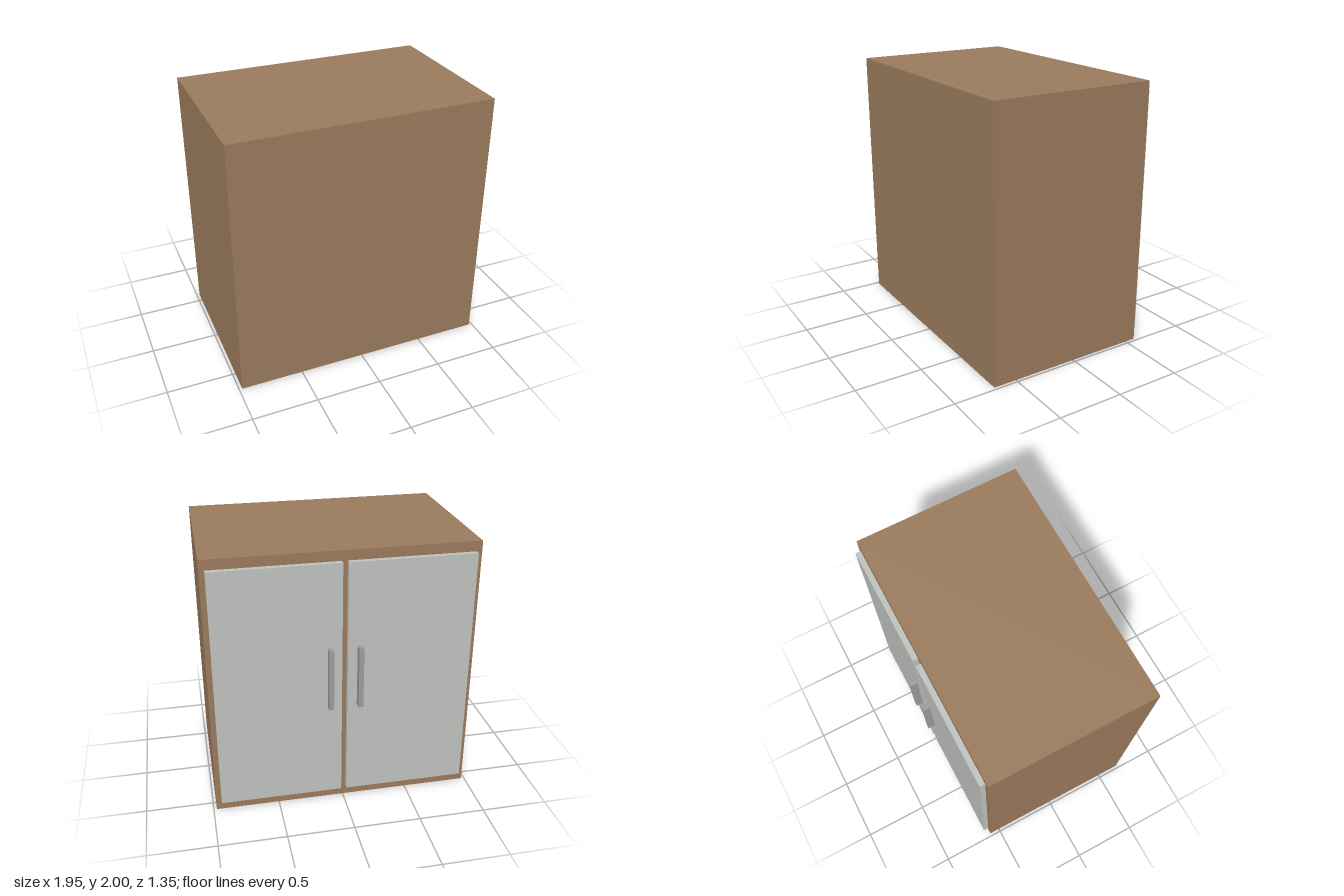
import * as THREE from 'three';

const material = (color) => new THREE.MeshStandardMaterial({ color });

export function createModel() {
  const group = new THREE.Group();
  const wood = material(0x9a7a5c);
  const panel = material(0xbec2bd);
  const metal = material(0x9b9ca1);

  // Box given by its lower and upper corners
  const addBox = (name, mat, [x0, y0, z0], [x1, y1, z1]) => {
    const mesh = new THREE.Mesh(new THREE.BoxGeometry(x1 - x0, y1 - y0, z1 - z0), mat);
    mesh.name = name;
    mesh.position.set((x0 + x1) / 2, (y0 + y1) / 2, (z0 + z1) / 2);
    group.add(mesh);
  };

  // Cabinet carcass
  addBox('cabinetBody', wood, [-0.977, 0, -0.582], [0.977, 2, 0.677]);

  // Pair of doors with upright bar handles, on the -z face
  for (const [side, s] of [['left', 1], ['right', -1]]) {
    const span = (a, b) => (s > 0 ? [a, b] : [-b, -a]);
    const [d0, d1] = span(0.02, 0.938);
    addBox(side + 'Door', panel, [d0, 0.08, -0.622], [d1, 1.925, -0.582]);
    const [h0, h1] = span(0.09, 0.126);
    addBox(side + 'Handle', metal, [h0, 0.825, -0.677], [h1, 1.3, -0.622]);
  }
  return group;
}
